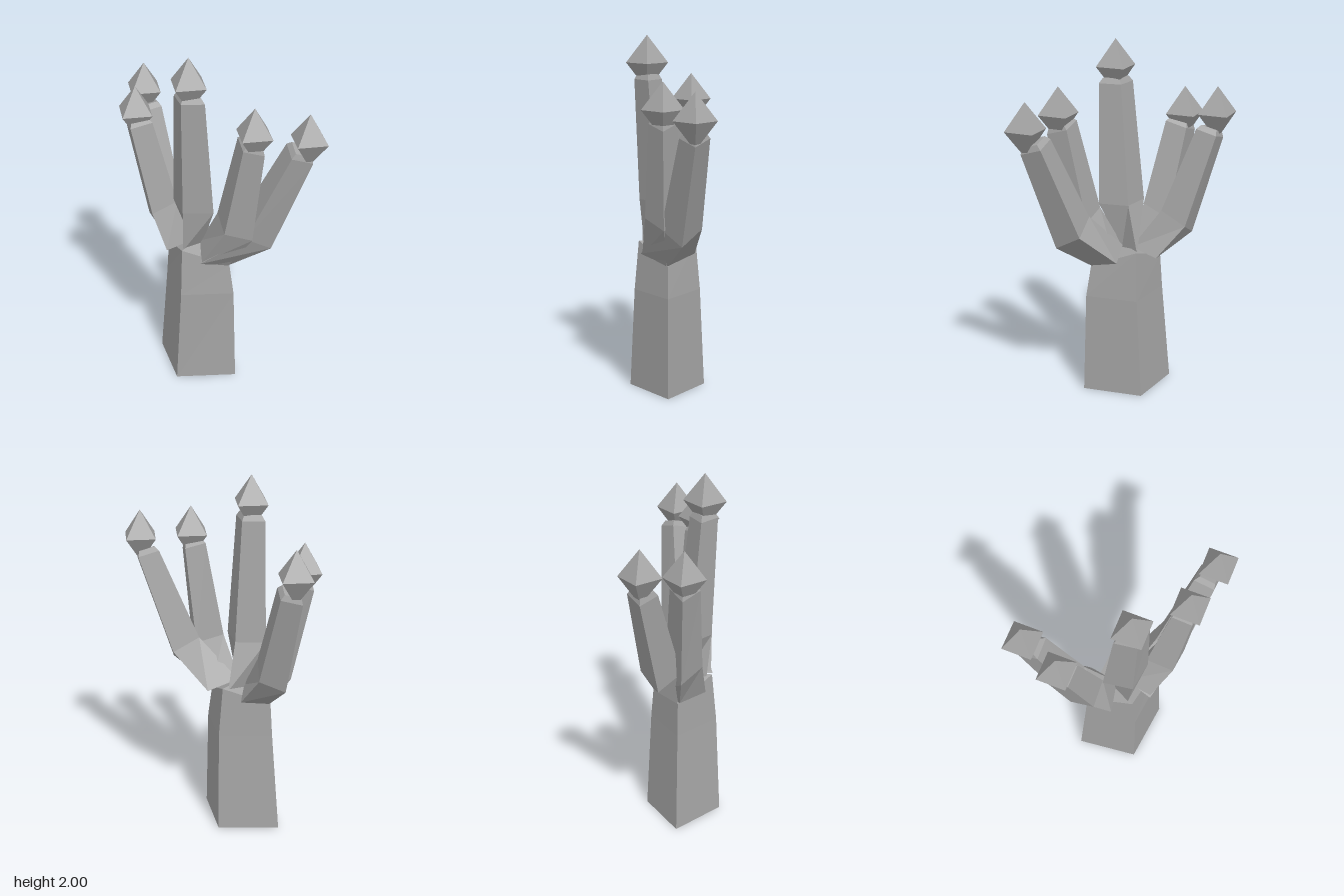
import * as THREE from 'three';

const stone = new THREE.MeshStandardMaterial({ color: 0xa4a4a4, flatShading: true });
stone.name = 'grey';

// Four-sided loft. Each ring: x, y, z, half width, half depth, tilt, lift of front and back corners
function loft(name, rings) {
  const corners = rings.map(([x, y, z, r, rz, tilt = 0, lift = 0]) => {
    const cx = r * Math.cos(tilt), cy = r * Math.sin(tilt);
    return [
      [x + cx, y + cy, z],
      [x, y + lift, z + rz],
      [x - cx, y - cy, z],
      [x, y + lift, z - rz],
    ];
  });
  const pos = [];
  const tri = (a, b, c) => pos.push(...a, ...b, ...c);
  for (let i = 0; i < corners.length - 1; i++) {
    const lo = corners[i], hi = corners[i + 1];
    for (let j = 0; j < 4; j++) {
      const k = (j + 1) % 4;
      tri(lo[j], hi[j], lo[k]);
      tri(lo[k], hi[j], hi[k]);
    }
  }
  const b = corners[0], t = corners[corners.length - 1];
  tri(b[0], b[1], b[2]);
  tri(b[0], b[2], b[3]);
  tri(t[1], t[0], t[3]);
  tri(t[1], t[3], t[2]);
  const geo = new THREE.BufferGeometry();
  geo.setAttribute('position', new THREE.Float32BufferAttribute(pos, 3));
  geo.computeVertexNormals();
  const mesh = new THREE.Mesh(geo, stone);
  mesh.name = name;
  return mesh;
}

// Branch with a bevelled end and a pointed bud on top
function branch(name, rings, bud) {
  const group = new THREE.Group();
  group.name = name;
  const [x, y, z, r, rz, tilt] = rings[rings.length - 1];
  const neck = [x - Math.sin(tilt) * 0.03, y + Math.cos(tilt) * 0.03, z, r * 0.75, rz * 0.75, tilt];
  group.add(loft(name + 'Stem', [...rings, neck]));
  const tip = new THREE.Mesh(new THREE.OctahedronGeometry(1), stone);
  tip.name = name + 'Bud';
  tip.scale.set(0.115, 0.15, 0.115);
  tip.position.set(...bud);
  group.add(tip);
  return group;
}

export function createModel() {
  const model = new THREE.Group();
  model.name = 'branchingTree';

  // Trunk with a ridged top
  model.add(loft('trunk', [
    [-0.08, 0, 0.02, 0.267, 0.212],
    [-0.062, 0.57, 0.02, 0.232, 0.185],
    [-0.07, 0.755, 0.02, 0.21, 0.16, -0.03, 0.095],
  ]));

  // Tall middle branch
  model.add(branch('middleBranch', [
    [-0.085, 0.83, 0.02, 0.04, 0.13, 0],
    [-0.065, 1.09, 0.075, 0.135, 0.1, 0],
    [-0.05, 1.76, 0.125, 0.1, 0.075, 0],
  ], [-0.05, 1.85, 0.13]));

  // Branches on the left (+x)
  model.add(branch('leftFrontBranch', [
    [0.045, 0.8, 0.03, 0.107, 0.13, -0.48],
    [0.19, 1.03, 0.045, 0.125, 0.1, -0.4],
    [0.29, 1.555, 0.05, 0.09, 0.075, -0.35],
  ], [0.31, 1.63, 0.05]));
  model.add(branch('leftBackBranch', [
    [0.045, 0.8, 0.02, 0.107, 0.15, -0.48],
    [0.27, 0.985, -0.05, 0.125, 0.11, -0.69],
    [0.49, 1.505, -0.11, 0.09, 0.08, -0.4],
  ], [0.545, 1.6, -0.11]));

  // Branches on the right (-x)
  model.add(branch('rightFrontBranch', [
    [-0.19, 0.8, 0.03, 0.095, 0.13, 0.36],
    [-0.29, 1.0, 0.055, 0.12, 0.1, 0.6],
    [-0.42, 1.495, 0.08, 0.095, 0.08, 0.35],
  ], [-0.445, 1.565, 0.08]));
  model.add(branch('rightBackBranch', [
    [-0.19, 0.8, 0.01, 0.095, 0.14, 0.36],
    [-0.345, 0.98, -0.06, 0.12, 0.11, 0.65],
    [-0.505, 1.49, -0.125, 0.088, 0.08, 0.35],
  ], [-0.545, 1.6, -0.13]));

  return model;
}
